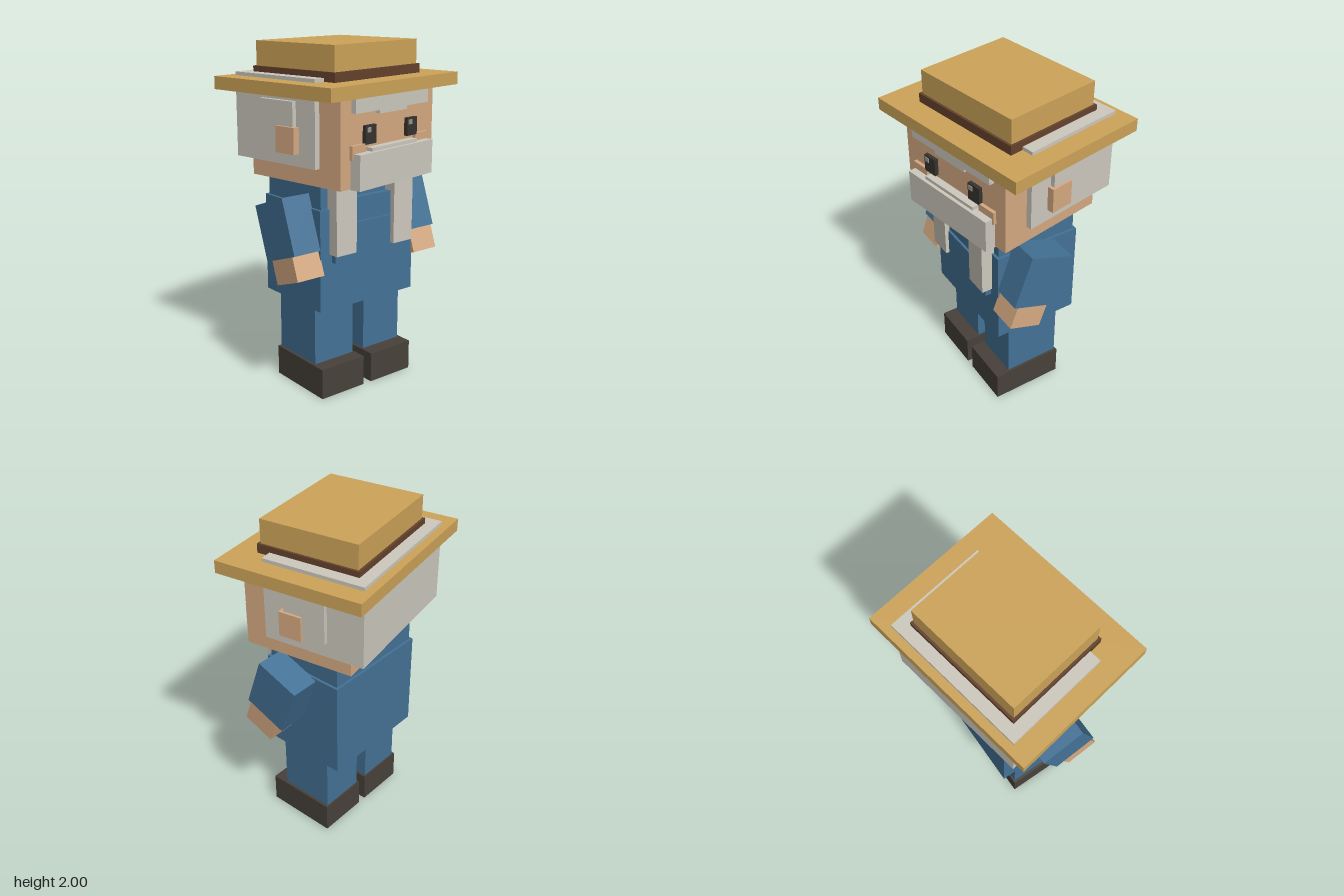
import * as THREE from 'three';

const mat = (name, color) => {
  const m = new THREE.MeshStandardMaterial({ color });
  m.name = name;
  return m;
};

export function createModel() {
  const straw = mat('straw', 0xcda459);
  const band = mat('hatBandBrown', 0x64422c);
  const hair = mat('greyHair', 0xcdc9be);
  const skin = mat('skin', 0xd6aa82);
  const blue = mat('denimBlue', 0x447296);
  const shoe = mat('shoeBrown', 0x48413a);
  const dark = mat('eyeDark', 0x36332f);
  const glint = mat('eyeGlint', 0x98978e);

  const model = new THREE.Group();
  model.name = 'farmer';

  // Box given by its min and max extents on each axis
  const box = (parent, name, material, [x0, x1], [y0, y1], [z0, z1]) => {
    const mesh = new THREE.Mesh(new THREE.BoxGeometry(x1 - x0, y1 - y0, z1 - z0), material);
    mesh.position.set((x0 + x1) / 2, (y0 + y1) / 2, (z0 + z1) / 2);
    mesh.name = name;
    parent.add(mesh);
    return mesh;
  };
  // The same box on both sides of x = 0
  const pair = (parent, name, material, [x0, x1], y, z) => {
    box(parent, name + 'Left', material, [x0, x1], y, z);
    box(parent, name + 'Right', material, [-x1, -x0], y, z);
  };

  // Legs and shoes
  pair(model, 'shoe', shoe, [0.028, 0.335], [0, 0.18], [-0.17, 0.27]);
  pair(model, 'leg', blue, [0.042, 0.318], [0.18, 0.53], [-0.16, 0.18]);

  // Torso and overalls
  box(model, 'overalls', blue, [-0.341, 0.341], [0.53, 1.116], [-0.26, 0.265]);
  box(model, 'shirt', blue, [-0.325, 0.325], [1.1, 1.25], [-0.245, 0.25]);
  box(model, 'bib', blue, [-0.262, 0.262], [0.81, 1.167], [0.26, 0.3]);
  box(model, 'bibPocket', blue, [-0.125, 0.125], [0.85, 1.03], [0.3, 0.315]);
  pair(model, 'beardStrand', hair, [0.137, 0.278], [0.86, 1.24], [0.25, 0.33]);

  // Arms swung slightly forward
  for (const side of [1, -1]) {
    const arm = new THREE.Group();
    arm.name = side > 0 ? 'armLeft' : 'armRight';
    arm.position.set(side * 0.425, 0.998, 0.08);
    arm.rotation.x = -THREE.MathUtils.degToRad(20);
    box(arm, 'sleeve', blue, [-0.09, 0.09], [-0.161, 0.161], [-0.139, 0.139]);
    box(arm, 'hand', skin, [-0.09, 0.09], [-0.3, -0.161], [-0.085, 0.12]);
    // Centre the hand on the measured wrist line
    arm.children[1].position.z = 0.016;
    model.add(arm);
  }

  // Head, turned a little to its left
  const head = new THREE.Group();
  head.name = 'head';
  head.rotation.y = THREE.MathUtils.degToRad(10);
  model.add(head);
  box(head, 'face', skin, [-0.4, 0.4], [1.255, 1.76], [-0.295, 0.365]);
  box(head, 'backHair', hair, [-0.434, 0.434], [1.355, 1.83], [-0.386, 0.217]);
  pair(head, 'sideHair', hair, [0.43, 0.46], [1.445, 1.705], [-0.17, 0.08]);
  pair(head, 'ear', skin, [0.43, 0.475], [1.425, 1.57], [-0.035, 0.1]);
  box(head, 'fringe', hair, [-0.314, 0.314], [1.655, 1.75], [0.36, 0.395]);
  box(head, 'fringeTip', hair, [-0.118, 0.118], [1.636, 1.655], [0.36, 0.395]);

  // Eyes with a small highlight in the same corner of each
  pair(head, 'eye', dark, [0.136, 0.224], [1.481, 1.582], [0.36, 0.388]);
  for (const x of [-0.2, 0.16]) {
    box(head, 'eyeHighlight', glint, [x - 0.014, x + 0.014], [1.545, 1.572], [0.386, 0.393]);
  }

  // Cheeks, moustache and beard
  pair(head, 'cheek', skin, [0.215, 0.33], [1.41, 1.487], [0.36, 0.385]);
  box(head, 'moustache', hair, [-0.196, 0.196], [1.42, 1.463], [0.36, 0.41]);
  box(head, 'beard', hair, [-0.32, 0.32], [1.25, 1.444], [0.36, 0.43]);

  // Straw hat
  const hat = new THREE.Group();
  hat.name = 'hat';
  head.add(hat);
  box(hat, 'hatBrim', straw, [-0.548, 0.548], [1.738, 1.81], [-0.434, 0.434]);
  box(hat, 'hatBand', band, [-0.363, 0.363], [1.81, 1.862], [-0.317, 0.294]);
  box(hat, 'hatCrown', straw, [-0.35, 0.35], [1.862, 2], [-0.303, 0.28]);

  return model;
}
